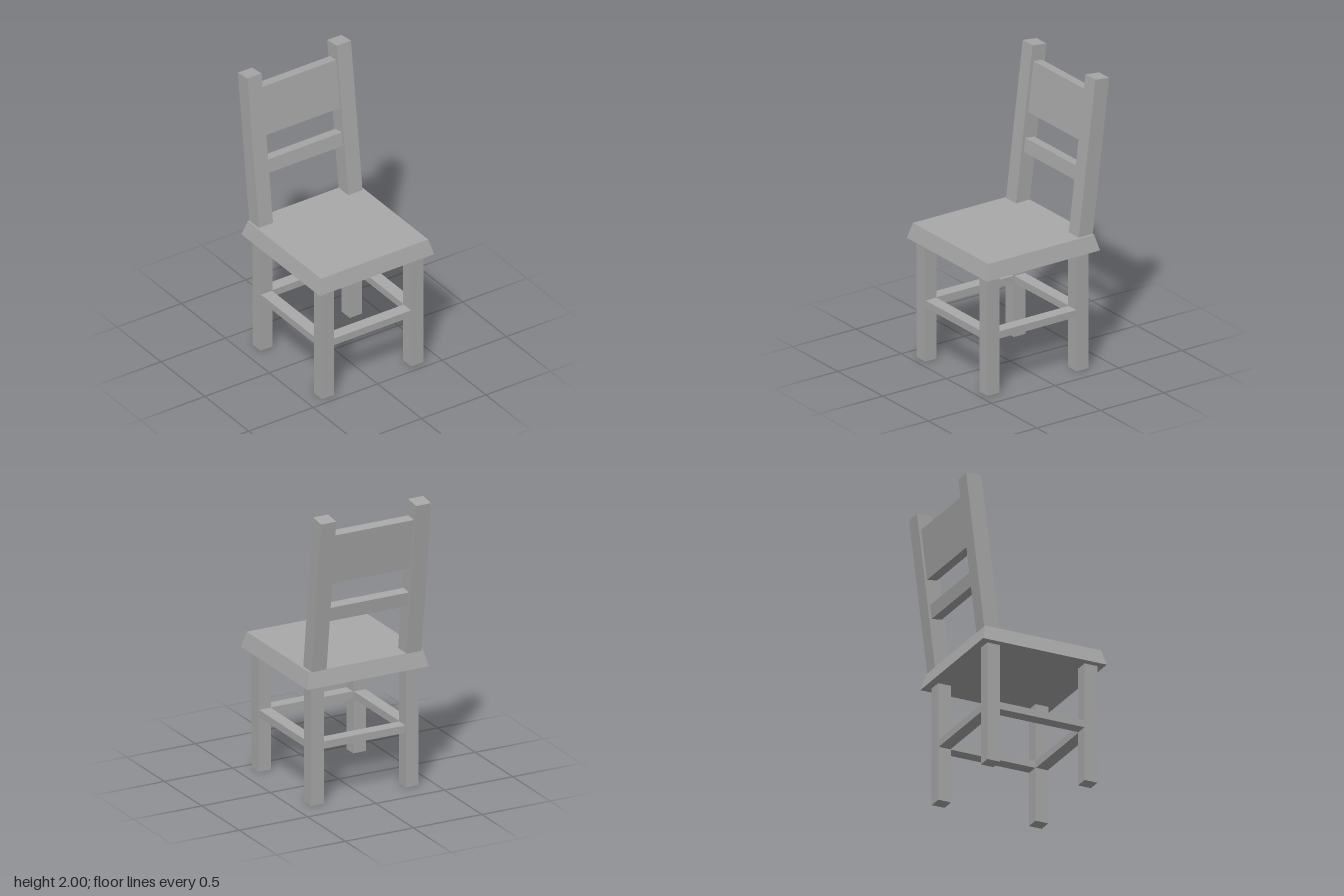
import * as THREE from 'three';

export function createModel() {
  const chair = new THREE.Group();
  chair.name = 'chair';
  const grey = new THREE.MeshStandardMaterial({ color: 0xa8a8a8 });
  grey.name = 'grey';

  // Box given by its extents along each axis
  const block = (parent, name, [x0, x1], [y0, y1], [z0, z1]) => {
    const mesh = new THREE.Mesh(new THREE.BoxGeometry(x1 - x0, y1 - y0, z1 - z0), grey);
    mesh.position.set((x0 + x1) / 2, (y0 + y1) / 2, (z0 + z1) / 2);
    mesh.name = name;
    parent.add(mesh);
    return mesh;
  };

  // Seat: slab whose top is narrower than its underside
  const seat = block(chair, 'seat', [-0.445, 0.443], [0.825, 0.932], [-0.395, 0.495]);
  const p = seat.geometry.attributes.position;
  for (let i = 0; i < p.count; i++) {
    if (p.getY(i) > 0) p.setXYZ(i, p.getX(i) * 0.937, p.getY(i), p.getZ(i) * 0.937);
  }
  seat.geometry.computeVertexNormals();

  // Legs
  const sides = { right: [-0.398, -0.305], left: [0.295, 0.388] };
  const ends = { front: [0.359, 0.451], back: [-0.341, -0.249] };
  for (const [side, x] of Object.entries(sides)) {
    for (const [end, z] of Object.entries(ends)) {
      block(chair, `${end} ${side} leg`, x, [0, 0.826], z);
    }
  }

  // Stretchers between the legs, a hair narrower than them
  const railY = [0.375, 0.425];
  const inset = ([a, b]) => [a + 0.004, b - 0.004];
  for (const [end, z] of Object.entries(ends)) {
    block(chair, `${end} stretcher`, [-0.305, 0.295], railY, inset(z));
  }
  for (const [side, x] of Object.entries(sides)) {
    block(chair, `${side} stretcher`, inset(x), railY, [-0.249, 0.359]);
  }

  // Backrest, leaning back from the rear of the seat
  const back = new THREE.Group();
  back.name = 'backrest';
  back.position.set(-0.003, 0.93, -0.257);
  back.rotation.x = -THREE.MathUtils.degToRad(7);
  chair.add(back);
  block(back, 'right post', [-0.402, -0.292], [-0.01, 1.078], [-0.11, 0]);
  block(back, 'left post', [0.292, 0.402], [-0.01, 1.078], [-0.11, 0]);
  block(back, 'upper slat', [-0.292, 0.292], [0.622, 0.969], [-0.092, -0.02]);
  block(back, 'lower slat', [-0.292, 0.292], [0.35, 0.446], [-0.092, -0.02]);

  return chair;
}
